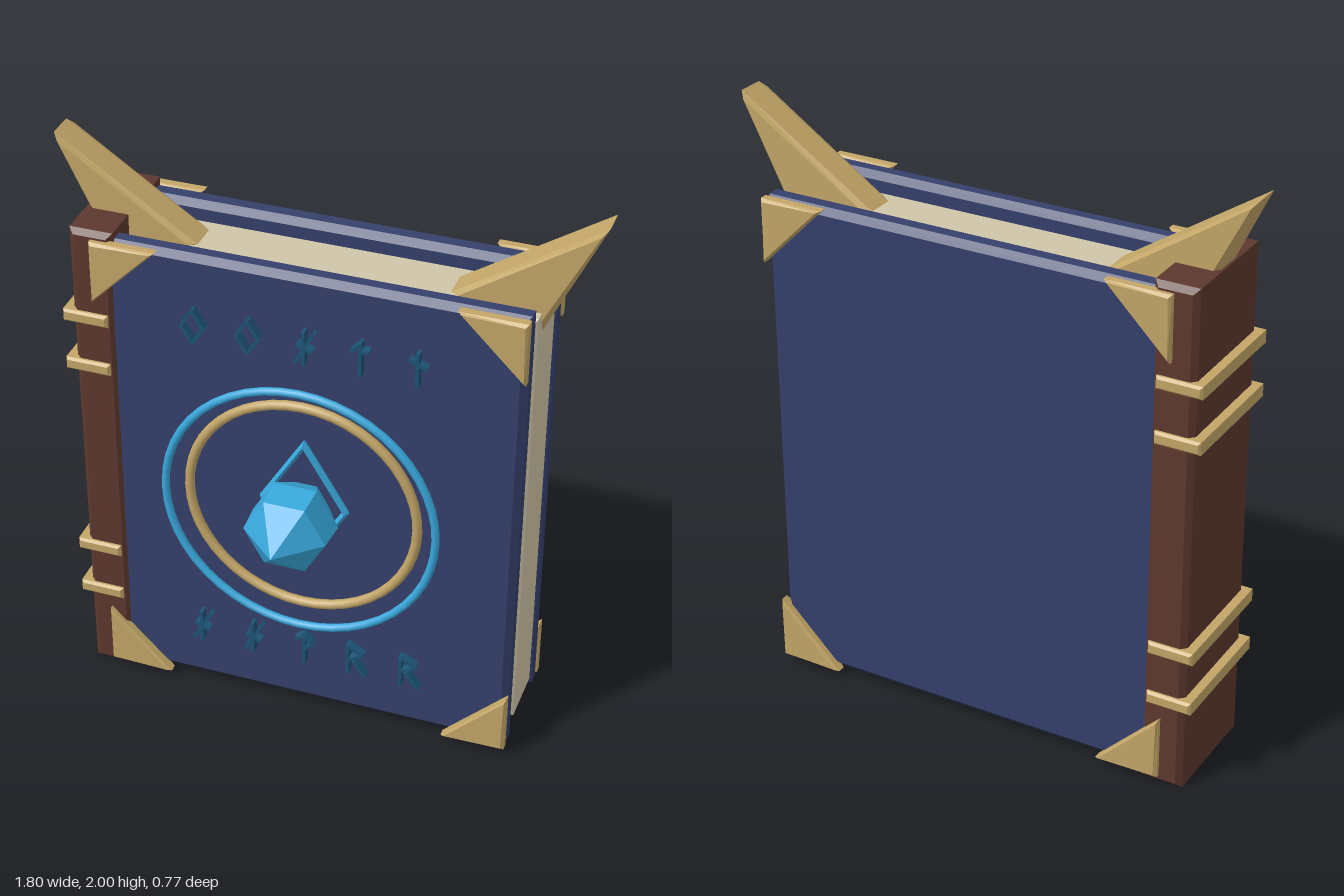
import * as THREE from 'three';

const mat = (color) => new THREE.MeshStandardMaterial({ color, flatShading: true });
const cloth = mat(0x35406b), gold = mat(0xc2a567), leather = mat(0x5c382e);
const paper = mat(0xcfc5a8), crystal = mat(0x38a8dc), inlay = mat(0x1d5577);
const ringBlue = new THREE.MeshStandardMaterial({ color: 0x38a8dc });
const ringGold = new THREE.MeshStandardMaterial({ color: 0xc2a567 });

export function createModel() {
  const book = new THREE.Group();
  book.name = 'spellBook';

  const add = (name, geometry, material, parent = book) => {
    const mesh = new THREE.Mesh(geometry, material);
    mesh.name = name;
    parent.add(mesh);
    return mesh;
  };

  // Outline extruded from z0 to z1 with a chamfer kept inside the outline
  const slab = (points, z0, z1, bevel) => {
    const shape = new THREE.Shape(points.map(([x, y]) => new THREE.Vector2(x, y)));
    return new THREE.ExtrudeGeometry(shape, {
      depth: z1 - z0 - 2 * bevel, bevelEnabled: true, bevelSegments: 1,
      bevelThickness: bevel, bevelSize: bevel, bevelOffset: -bevel,
    }).translate(0, 0, z0 + bevel);
  };
  const rect = (x0, x1, y0, y1) => [[x0, y0], [x1, y0], [x1, y1], [x0, y1]];

  // Covers, page block and spine
  const coverOutline = rect(-0.715, 0.715, 0.03, 1.735);
  add('frontCover', slab(coverOutline, -0.03, 0.05, 0.022), cloth);
  add('backCover', slab(coverOutline, -0.355, -0.27, 0.022), cloth);
  add('pages', slab(rect(-0.7, 0.715, 0.08, 1.68), -0.28, -0.02, 0.028), paper);
  add('spine', slab(rect(-0.795, -0.648, 0, 1.76), -0.362, 0.062, 0.018), leather);

  // Raised bands round the spine
  for (const y of [0.325, 0.51, 1.255, 1.44])
    add('spineBand', slab(rect(-0.825, -0.67, y - 0.022, y + 0.022), -0.377, 0.077, 0.008), gold);

  // Triangular corner guards on both covers, and a horn at each upper corner
  for (const s of [-1, 1]) {
    for (const [y, dir] of [[0.03, 1], [1.735, -1]])
      for (const z of [-0.385, 0.04])
        add('cornerGuard', slab(
          [[s * 0.718, y], [s * 0.495, y], [s * 0.718, y + dir * 0.223]], z, z + 0.046, 0.01), gold);
    add('horn', slab([[s * 0.42, 1.685], [s * 0.9, 2], [s * 0.7, 1.575]], -0.217, -0.083, 0.02), gold);
  }

  // Emblem: two rings, a diamond frame and a pointed six-sided gem
  const emblem = new THREE.Group();
  emblem.name = 'emblem';
  emblem.position.y = 0.885;
  book.add(emblem);
  add('outerRing', new THREE.TorusGeometry(0.466, 0.014, 8, 48), ringBlue, emblem).position.z = 0.124;
  add('innerRing', new THREE.TorusGeometry(0.394, 0.017, 8, 48), ringGold, emblem).position.z = 0.09;
  const frame = add('diamondFrame', new THREE.TorusGeometry(0.235, 0.02, 4, 4), crystal, emblem);
  frame.scale.x = 0.61;
  frame.position.z = 0.07;

  const gemProfile = [[0, 0.05], [0.075, 0.05], [0.147, 0.155], [0.14, 0.26], [0, 0.387]]
    .map(([r, z]) => new THREE.Vector2(r, z));
  const gem = new THREE.LatheGeometry(gemProfile, 6).rotateY(Math.PI / 2).rotateX(Math.PI / 2);
  add('gem', gem, crystal, emblem);

  // Small inlaid ornaments made of thin strokes: [x0, y0, x1, y1]
  const ornament = (x, y, strokes) => {
    const group = new THREE.Group();
    group.name = 'ornament';
    group.position.set(x, y, 0.064);
    book.add(group);
    for (const [x0, y0, x1, y1] of strokes) {
      const length = Math.hypot(x1 - x0, y1 - y0);
      const bar = add('stroke', new THREE.BoxGeometry(length, 0.011, 0.034), inlay, group);
      bar.position.set((x0 + x1) / 2, (y0 + y1) / 2, 0);
      bar.rotation.z = Math.atan2(y1 - y0, x1 - x0);
    }
  };
  const lozenge = [[-0.038, 0, 0, 0.06], [0, 0.06, 0.038, 0], [0.038, 0, 0, -0.06], [0, -0.06, -0.038, 0]];
  const mast = [0, -0.062, 0, 0.062];
  const crossed = [mast, [-0.03, -0.06, 0.035, 0.06], [-0.025, 0.01, 0.03, -0.01]];
  const twig = [mast, [0, 0.055, -0.03, 0.025], [0, 0.03, 0.03, 0.03]];
  const sprout = [mast, [-0.03, 0.035, 0.03, 0.01]];
  const flag = [[-0.03, -0.062, -0.03, 0.062], [-0.03, 0.06, 0.025, 0.03], [0.025, 0.03, -0.03, 0], [-0.01, 0, 0.035, -0.06]];
  const pennant = [mast, [-0.03, 0.04, 0, 0.06], [0, 0.06, 0.03, 0.03], [0.03, 0.03, 0, 0]];
  const upper = [lozenge, lozenge, crossed, twig, sprout];
  const lower = [crossed, crossed, pennant, flag, flag];
  for (let i = 0; i < 5; i++) {
    const x = (i - 2) * 0.187;
    ornament(x, 1.493, upper[i]);
    ornament(x, 0.27, lower[i]);
  }

  return book;
}
